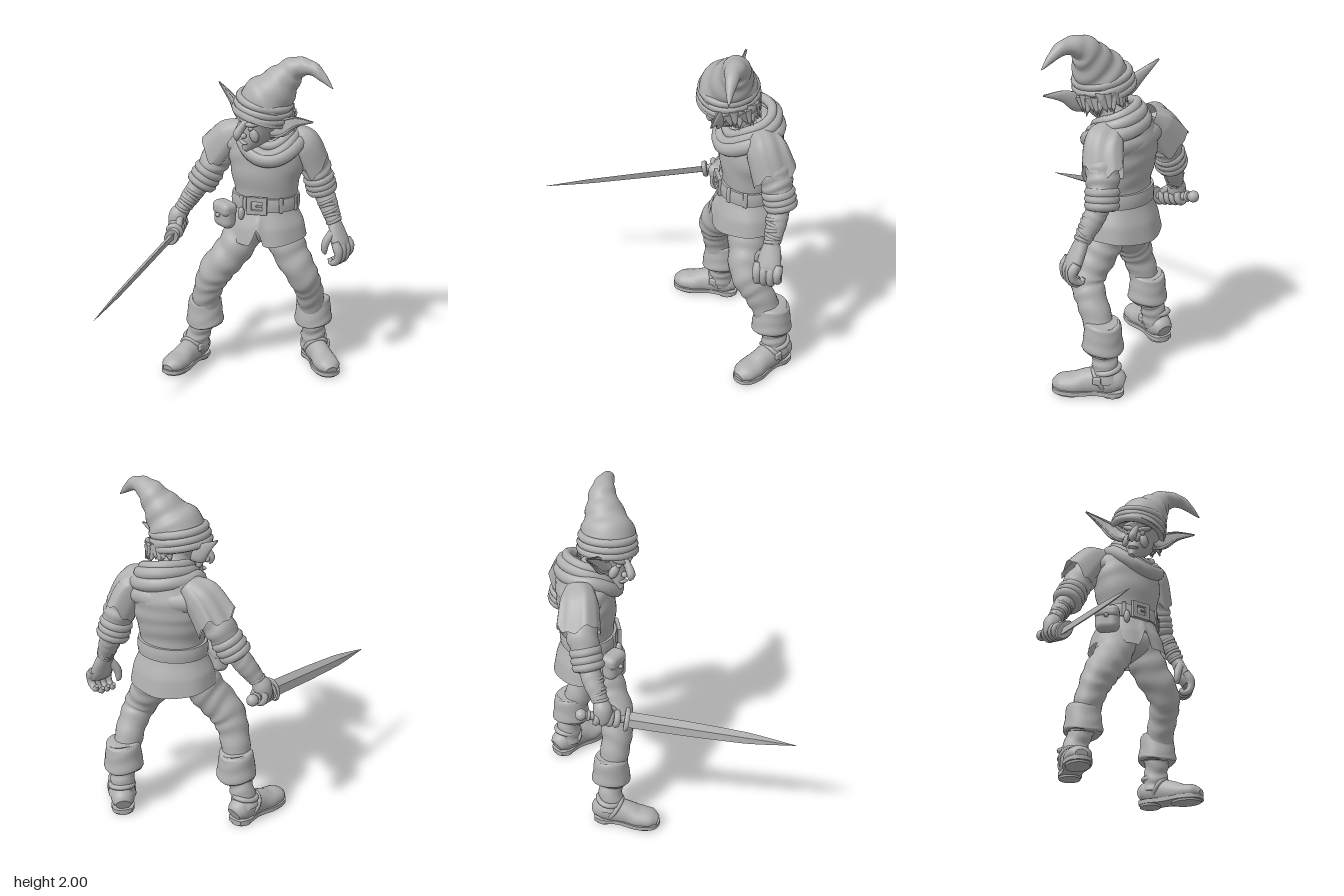
import * as THREE from 'three';
import { RoundedBoxGeometry } from 'three/addons/geometries/RoundedBoxGeometry.js';

const grey = new THREE.MeshStandardMaterial({ color: 0xb0b0b0, side: THREE.DoubleSide });
grey.name = 'clayGrey';
const V = (x, y, z) => new THREE.Vector3(x, y, z);

// Skin of elliptical rings along a smooth path; each point is [x, y, z, halfWidth, halfDepth]
function sweep(pts, { ref = [0, 0, 1], seg = 24, sides = 24, wob = 0, waves = 30, cap = true, flat = false, floor = -9, edit } = {}) {
  const path = new THREE.CatmullRomCurve3(pts.map(p => V(p[0], p[1], p[2])));
  const size = new THREE.CatmullRomCurve3(pts.map(p => V(p[3], p[4] ?? p[3], 0)));
  const up = V(...ref), pos = [], idx = [];
  const rows = Array.from({ length: seg + 1 }, (_, i) => [i / seg, 1]);
  if (cap) { rows.unshift([0, 0], [0, 1]); rows.push([1, 1], [1, 0]); }
  for (const [t, k] of rows) {
    const c = path.getPoint(t), s = size.getPoint(t), T = path.getTangent(t);
    const side = V().crossVectors(T, up).normalize(), d = V().crossVectors(side, T);
    for (let j = 0; j < sides; j++) {
      const a = j / sides * Math.PI * 2;
      const r = k * (1 + wob * Math.sin(waves * t + 1.6 * Math.sin(a + 5 * t) + Math.cos(2 * a)));
      const v = c.clone().addScaledVector(side, Math.max(s.x, 0.001) * r * Math.cos(a))
        .addScaledVector(d, Math.max(s.y, 0.001) * r * Math.sin(a));
      if (edit) edit(v, t, a);
      pos.push(v.x, Math.max(v.y, floor), v.z);
    }
  }
  for (let i = 0; i < rows.length - 1; i++) for (let j = 0; j < sides; j++) {
    const a = i * sides + j, b = i * sides + (j + 1) % sides, c = a + sides, e = b + sides;
    idx.push(a, c, b, b, c, e);
  }
  let g = new THREE.BufferGeometry();
  g.setAttribute('position', new THREE.Float32BufferAttribute(pos, 3));
  g.setIndex(idx);
  if (flat) g = g.toNonIndexed();
  g.computeVertexNormals();
  return g;
}

function add(parent, name, geo, p = [0, 0, 0], rot = [0, 0, 0], s = [1, 1, 1]) {
  const m = new THREE.Mesh(geo, grey);
  m.name = name;
  m.position.set(...p); m.rotation.set(...rot); m.scale.set(...s);
  parent.add(m);
  return m;
}
const ball = r => new THREE.SphereGeometry(r, 20, 14);

// Ring band around an axis
function band(parent, name, at, axis, r, tube) {
  const m = add(parent, name, new THREE.TorusGeometry(r, tube, 8, 28), at);
  m.quaternion.setFromUnitVectors(V(0, 0, 1), V(...axis).normalize());
}
function group(parent, name, p, yaw = 0, roll = 0) {
  const g = new THREE.Group();
  g.name = name; g.position.set(...p); g.rotation.set(0, yaw, roll);
  parent.add(g);
  return g;
}

function buildBody(root) {
  const b = group(root, 'body', [0.048, 0, -0.487], Math.PI / 6);
  add(b, 'tunic', sweep([[0, 1.02, 0, 0.18, 0.145], [0, 1.17, 0, 0.19, 0.152], [0, 1.3, -0.005, 0.22, 0.17],
    [0, 1.41, -0.015, 0.225, 0.168], [0.01, 1.5, -0.02, 0.17, 0.135], [0.02, 1.55, -0.01, 0.09, 0.09]], { wob: 0.015, sides: 40, seg: 36 }));
  add(b, 'shoulderYoke', ball(0.1), [0, 1.42, -0.04], [0, 0, 0], [2.75, 0.95, 1.4]);
  // Skirt with a slit at the front and an uneven hem
  add(b, 'tunicSkirt', sweep([[0, 1.12, 0, 0.18, 0.145], [0, 1.05, 0, 0.19, 0.157], [0, 0.95, 0, 0.232, 0.193], [0, 0.85, 0, 0.25, 0.212]], {
    cap: false, sides: 72, edit: (v, t, a) => {
      const front = Math.abs(Math.atan2(v.x, v.z) + 0.08);
      v.y += t * t * (0.12 * Math.max(0, 1 - front / 0.2) + 0.03 * Math.cos(a) ** 2);
      const fold = 1 + t * 0.015 * Math.sin(7 * a);
      v.x *= fold; v.z *= fold;
    } }));
  add(b, 'trouserSeat', ball(0.17), [0, 0.93, 0], [0, 0, 0], [1.05, 0.68, 0.85]);
  add(b, 'belt', sweep([[0, 1.055, 0, 0.203, 0.168], [0, 1.095, 0, 0.206, 0.17], [0, 1.135, 0, 0.2, 0.164]], { sides: 40, seg: 4 }));
  const frame = new THREE.Shape([[-1, -1], [1, -1], [1, 1], [-1, 1]].map(([x, y]) => new THREE.Vector2(x * 0.058, y * 0.05)));
  frame.holes.push(new THREE.Path([[-1, -1], [-1, 1], [1, 1], [1, -1]].map(([x, y]) => new THREE.Vector2(x * 0.036, y * 0.03))));
  add(b, 'buckle', new THREE.ExtrudeGeometry(frame, { depth: 0.015, bevelSize: 0.004, bevelThickness: 0.004, bevelSegments: 2 }), [-0.025, 1.097, 0.163]);
  add(b, 'bucklePin', new RoundedBoxGeometry(0.05, 0.012, 0.012, 2, 0.004), [-0.005, 1.097, 0.176]);
  for (const a of [-0.65, 0.6, 1.2])
    add(b, 'beltLoop', new RoundedBoxGeometry(0.025, 0.095, 0.014, 2, 0.006), [0.204 * Math.sin(a), 1.097, 0.168 * Math.cos(a)], [0, a, 0]);
  // Pouch hung on the belt
  const p = group(b, 'pouch', [-0.228, 1.01, 0.108], -0.75);
  add(p, 'pouchBag', new RoundedBoxGeometry(0.145, 0.15, 0.09, 5, 0.04), [0, -0.005, 0]);
  add(p, 'pouchFlap', new RoundedBoxGeometry(0.15, 0.085, 0.102, 4, 0.035), [0, 0.04, 0.002]);
  add(p, 'pouchButton', ball(0.014), [0, 0.005, 0.053]);
  add(b, 'beltKnot', ball(0.025), [-0.12, 1.04, 0.16], [0, 0, 0], [0.8, 1.6, 0.8]);
  // Draped hood lying round the neck
  const drape = (y0, y1, y2, w, d, r) => {
    const q = [];
    for (let i = 0; i < 16; i++) {
      const a = i / 16 * Math.PI * 2, c = Math.cos(a);
      q.push(V(0.03 - 0.02 * c + w * Math.sin(a), (c > 0 ? y1 + (y0 - y1) * c ** 1.4 : y1 - (y2 - y1) * c) - 0.025 * Math.sin(a), d * c + 0.015));
    }
    add(b, 'hoodFold', new THREE.TubeGeometry(new THREE.CatmullRomCurve3(q, true), 64, r, 10, true));
  };
  drape(1.41, 1.53, 1.57, 0.14, 0.145, 0.036);
  drape(1.385, 1.495, 1.51, 0.168, 0.155, 0.044);
  drape(1.46, 1.565, 1.605, 0.125, 0.12, 0.027);
  add(b, 'hoodBack', ball(0.17), [0.03, 1.465, -0.075], [0.35, 0, 0], [1, 0.62, 0.5]);
}

function buildHead(root) {
  add(root, 'neck', sweep([[0.03, 1.46, -0.5, 0.09], [0.08, 1.56, -0.44, 0.085], [0.12, 1.65, -0.4, 0.11]]));
  const h = group(root, 'head', [0.11, 1.58, -0.38], -0.32, -0.17);
  add(h, 'face', sweep([[0, -0.14, 0.115, 0.016, 0.016], [0, -0.1, 0.085, 0.042, 0.05], [0, -0.05, 0.05, 0.07, 0.083],
    [0, 0.01, 0.015, 0.102, 0.12], [0, 0.06, 0, 0.122, 0.135], [0, 0.13, 0, 0.12, 0.13]]));
  add(h, 'nose', sweep([[0, 0.05, 0.115, 0.018, 0.02], [0, 0.01, 0.15, 0.02, 0.024], [0, -0.03, 0.175, 0.026, 0.024],
    [0, -0.058, 0.172, 0.016, 0.014], [0, -0.07, 0.165, 0.004, 0.004]], { seg: 16, sides: 14 }));
  for (const s of [-1, 1]) {
    add(h, 'nostril', ball(0.018), [s * 0.022, -0.035, 0.145]);
    add(h, 'brow', ball(0.04), [s * 0.048, 0.045, 0.116], [0, s * 0.4, s * 0.35], [1.15, 0.42, 0.5]);
    add(h, 'eye', ball(0.015), [s * 0.043, 0.017, 0.115]);
    add(h, 'cheek', ball(0.04), [s * 0.052, -0.025, 0.092], [0, s * 0.5, s * 0.4], [0.7, 1.1, 0.6]);
  }
  add(h, 'lips', ball(0.034), [0, -0.088, 0.126], [0, 0, 0], [1, 0.28, 0.5]);
  // Ragged hair under the back of the hat
  for (let i = 0; i < 13; i++) {
    const a = Math.PI + (i - 6) * 0.17;
    add(h, 'hairTuft', new THREE.ConeGeometry(0.036, 0.08 + 0.02 * (i % 3), 8),
      [0.135 * Math.sin(a), 0.04 + 0.01 * (i % 2), 0.178 * Math.cos(a)], [Math.PI - 0.35, a, 0.25 * (i % 3 - 1), 'YXZ']);
  }
  // Long pointed ears, cupped towards the front
  const ears = { rightEar: [[0.02, 1.6, -0.35], [-0.04, 1.635, -0.352], [-0.12, 1.7, -0.365], [-0.225, 1.78, -0.375]],
    leftEar: [[0.19, 1.565, -0.36], [0.25, 1.595, -0.368], [0.34, 1.645, -0.385], [0.46, 1.667, -0.395]] };
  for (const [name, q] of Object.entries(ears)) {
    const w = [0.03, 0.052, 0.032, 0.003];
    add(root, name, sweep(q.map((c, i) => [...c, w[i], [0.03, 0.03, 0.015, 0.003][i]]), { sides: 20,
      edit: (v, t, a) => { v.z -= 0.04 * Math.max(0, Math.sin(a)) * Math.sin(Math.PI * t) * (1 - t); } }));
    for (const s of [-0.85, 0.85])
      add(root, name + 'Rim', sweep(q.map((c, i) => [c[0], c[1] + w[i] * s, c[2] + 0.006, 0.011 - 0.0028 * i]), { sides: 8 }));
  }
  // Crumpled pointed hat
  add(root, 'hat', sweep([[0.1, 1.645, -0.375, 0.165, 0.175], [0.127, 1.73, -0.385, 0.155, 0.165], [0.17, 1.8, -0.41, 0.127, 0.134],
    [0.215, 1.87, -0.44, 0.096, 0.098], [0.262, 1.925, -0.46, 0.073, 0.075], [0.325, 1.95, -0.47, 0.052, 0.054],
    [0.4, 1.94, -0.48, 0.037, 0.037], [0.46, 1.895, -0.49, 0.022, 0.022], [0.512, 1.85, -0.5, 0.003, 0.003]],
  { seg: 64, sides: 36, wob: 0.04, waves: 42 }));
  for (const [k, r] of [[0, 0.155], [0.035, 0.152], [0.072, 0.147]])
    band(root, 'hatBand', [0.1 + k * 0.25, 1.665 + k, -0.376 - k * 0.05], [0.22, 1, -0.02], r, 0.024);
}

function buildArms(root) {
  const fwd = { ref: [0.5, 0, 0.87] };
  const arm = (name, S, M, E, F, W) => {
    const g = group(root, name, [0, 0, 0]);
    add(g, 'sleeve', sweep([[...S, 0.085], [...M, 0.09], [...E, 0.078]], { ...fwd, wob: 0.05, waves: 22 }));
    const ax = E.map((e, i) => e - M[i]), fx = W.map((w, i) => w - E[i]);
    for (const k of [-0.28, 0, 0.26]) band(g, 'sleeveCuff', E.map((e, i) => e + ax[i] * k), ax, 0.066, 0.03);
    add(g, 'forearm', sweep([[...E, 0.062], [...F, 0.06], [...W, 0.044]], { ...fwd, wob: 0.02 }));
    for (let i = 0; i < 5; i++) {
      const k = 0.45 + i * 0.125;
      band(g, 'wristWrap', E.map((e, j) => e + fx[j] * k), [fx[0], fx[1], fx[2] + (i % 2 ? 0.05 : -0.04)], 0.05 - i * 0.0025, 0.011);
    }
    return g;
  };
  const R = arm('rightArm', [-0.16, 1.43, -0.44], [-0.255, 1.31, -0.4], [-0.315, 1.18, -0.35], [-0.365, 1.08, -0.3], [-0.41, 0.97, -0.235]);
  const L = arm('leftArm', [0.225, 1.43, -0.63], [0.25, 1.3, -0.695], [0.268, 1.175, -0.73], [0.315, 1.08, -0.735], [0.385, 0.95, -0.73]);
  // Open shoulder flaps with ragged hems
  const flap = (g, q) => add(g, 'shoulderFlap', sweep(q, { ...fwd, cap: false, sides: 40,
    edit: (v, t, a) => { v.y += t * (0.03 * Math.sin(3 * a) + 0.012 * Math.sin(8 * a)); } }));
  flap(R, [[-0.1, 1.51, -0.47, 0.06, 0.075], [-0.18, 1.45, -0.44, 0.1, 0.11], [-0.275, 1.33, -0.41, 0.11, 0.125]]);
  flap(L, [[0.15, 1.5, -0.57, 0.06, 0.075], [0.215, 1.44, -0.63, 0.095, 0.11], [0.25, 1.3, -0.695, 0.09, 0.12]]);

  // Hanging left hand with curled fingers
  add(L, 'palm', sweep([[0.38, 0.96, -0.73, 0.035, 0.042], [0.405, 0.9, -0.73, 0.038, 0.06], [0.435, 0.83, -0.73, 0.04, 0.07], [0.45, 0.79, -0.73, 0.03, 0.068]]));
  for (let i = 0; i < 4; i++) {
    const z = -0.672 - i * 0.038, s = i === 3 ? 0.025 : 0;
    add(L, 'finger', sweep([[0.435, 0.85, z, 0.024], [0.465, 0.785 + s / 2, z, 0.024], [0.452, 0.732 + s, z, 0.022],
      [0.415, 0.715 + s, z, 0.019], [0.398, 0.74 + s, z, 0.012]], { seg: 14, sides: 10 }));
  }
  add(L, 'thumb', sweep([[0.4, 0.9, -0.69, 0.026], [0.38, 0.84, -0.655, 0.024], [0.375, 0.79, -0.65, 0.019], [0.38, 0.765, -0.655, 0.007]], { seg: 12, sides: 10 }));

  // Right hand closed round the sword grip
  const P = V(-0.48, 0.908, -0.33), G = V(-0.362, 0.847, -0.1), T = V(-0.082, 0.69, 0.832);
  const axis = G.clone().sub(P).normalize().toArray(), at = k => P.clone().lerp(G, k).toArray();
  add(R, 'palm', sweep([[-0.41, 0.98, -0.24, 0.042], [-0.425, 0.935, -0.22, 0.055], [-0.43, 0.87, -0.21, 0.045], [-0.425, 0.845, -0.205, 0.015]], fwd));
  for (let i = 0; i < 4; i++) band(R, 'finger', at(0.34 + i * 0.145), axis, 0.035, 0.02);
  add(R, 'thumb', sweep([[-0.4, 0.94, -0.21, 0.024], [-0.37, 0.9, -0.17, 0.02], [-0.37, 0.87, -0.14, 0.012]], { ref: [1, 0, 0], seg: 10, sides: 10 }));

  // Sword
  const sw = group(root, 'sword', [0, 0, 0]), tilt = { ref: [0.6, 0.8, 0] };
  add(sw, 'grip', sweep([[...P.toArray(), 0.022], [...at(0.5), 0.025], [...G.toArray(), 0.022]], { ...tilt, wob: 0.05, waves: 50 }));
  add(sw, 'pommel', ball(0.034), P.toArray());
  band(sw, 'pommelRing', at(0.16), axis, 0.024, 0.009);
  const e = T.clone().sub(G);
  const along = k => G.clone().addScaledVector(e, k).toArray();
  add(sw, 'guard', sweep([[...along(-0.012), 0.04, 0.062], [...along(0), 0.045, 0.07], [...along(0.016), 0.04, 0.062]], { ...tilt, seg: 6 }));
  add(sw, 'blade', sweep([[...along(0), 0.018, 0.046], [...along(0.35), 0.017, 0.043], [...along(0.7), 0.014, 0.033], [...along(1), 0.001, 0.001]],
    { ...tilt, sides: 4, flat: true }));
}

function buildLegs(root) {
  const leg = (name, q, cuff, ankle, yaw) => {
    const g = group(root, name, [0, 0, 0]);
    add(g, 'trouserLeg', sweep(q, { wob: 0.035, waves: 40, seg: 40 }));
    // Folded boot top and shaft
    const [x, z] = cuff;
    add(g, 'bootCuff', sweep([[x, 0.42, z, 0.07], [x, 0.435, z, 0.085], [x, 0.42, z, 0.1], [x, 0.35, z, 0.107],
      [x, 0.285, z, 0.116], [x, 0.268, z, 0.106], [x, 0.285, z, 0.06]], { sides: 32, wob: 0.015, cap: false,
      edit: (v, t, a) => { v.y += 0.01 * Math.sin(2 * a + 1); } }));
    add(g, 'bootShaft', sweep([[x, 0.33, z, 0.08], [(x + ankle[0]) / 2, 0.22, (z + ankle[1]) / 2, 0.07], [ankle[0], 0.09, ankle[1], 0.08]], { wob: 0.05, waves: 22 }));
    const f = group(g, 'boot', [ankle[0], 0, ankle[1]], yaw);
    add(f, 'bootUpper', sweep([[0, 0.07, -0.095, 0.045, 0.04], [0, 0.085, -0.06, 0.066, 0.07], [0, 0.09, 0, 0.07, 0.085], [0, 0.075, 0.1, 0.066, 0.075],
      [0, 0.06, 0.18, 0.076, 0.06], [0, 0.057, 0.25, 0.07, 0.05], [0, 0.047, 0.295, 0.034, 0.025]], { ref: [0, 1, 0], floor: 0.025, wob: 0.012 }));
    const sole = new THREE.Shape();
    sole.moveTo(-0.05, 0.088);
    sole.splineThru([[0, 0.1], [0.05, 0.088], [0.068, 0.03], [0.058, -0.06], [0.08, -0.18], [0.06, -0.275], [0, -0.305],
      [-0.06, -0.275], [-0.08, -0.18], [-0.058, -0.06], [-0.068, 0.03], [-0.05, 0.088]].map(p => new THREE.Vector2(...p)));
    add(f, 'sole', new THREE.ExtrudeGeometry(sole, { depth: 0.025, bevelEnabled: false }), [0, 0.012, 0], [-Math.PI / 2, 0, 0]);
    add(f, 'heel', new THREE.CylinderGeometry(0.064, 0.062, 0.03, 24), [0, 0.015, -0.034]);
    add(f, 'forefoot', new THREE.CylinderGeometry(0.07, 0.068, 0.02, 24), [0, 0.01, 0.2], [0, 0, 0], [1, 1, 1.35]);
    band(f, 'bootStrap', [0, 0.1, 0.035], [0, -0.5, 0.8], 0.07, 0.013);
    band(f, 'ankleStrap', [0, 0.16, -0.005], [0, 1, 0.2], 0.066, 0.016);
    add(f, 'strapBuckle', new RoundedBoxGeometry(0.02, 0.045, 0.045, 2, 0.008), [0.074, 0.115, 0.045]);
  };
  leg('rightLeg', [[-0.02, 0.92, -0.4, 0.115], [-0.065, 0.78, -0.325, 0.11], [-0.135, 0.65, -0.25, 0.104], [-0.185, 0.53, -0.235, 0.088], [-0.23, 0.36, -0.25, 0.082]],
    [-0.232, -0.255], [-0.3, -0.24], 0.12);
  leg('leftLeg', [[0.13, 0.92, -0.525, 0.115], [0.2, 0.78, -0.535, 0.108], [0.282, 0.63, -0.565, 0.094], [0.28, 0.52, -0.63, 0.085], [0.255, 0.36, -0.7, 0.082]],
    [0.255, -0.715], [0.245, -0.742], 1.05);
}

export function createModel() {
  const root = new THREE.Group();
  root.name = 'swordsman';
  buildBody(root);
  buildHead(root);
  buildArms(root);
  buildLegs(root);
  return root;
}
